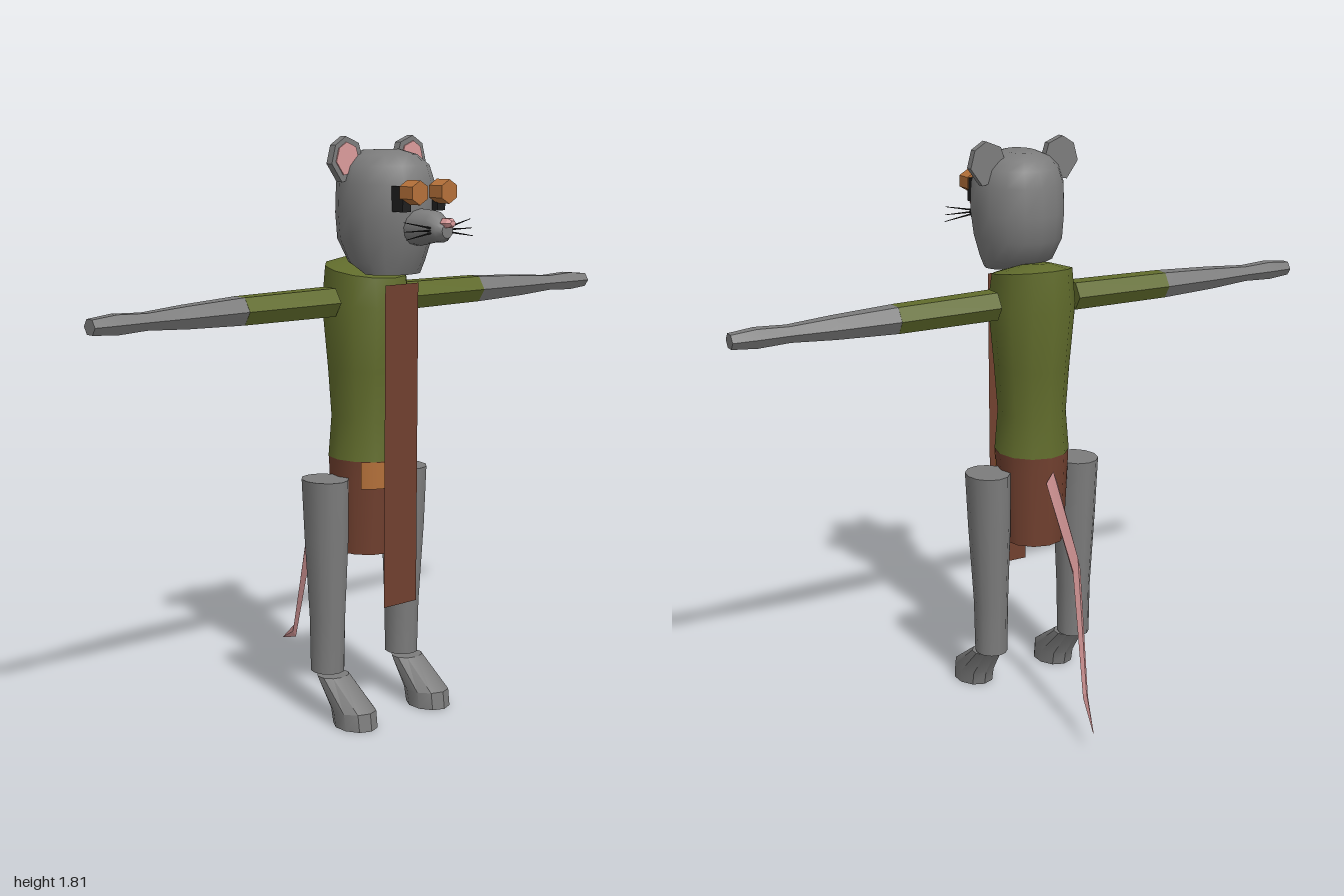
import * as THREE from 'three';
import { toCreasedNormals } from 'three/addons/utils/BufferGeometryUtils.js';

const V = (x, y, z) => new THREE.Vector3(x, y, z);

// Ring across the body: front point (zf, yf), back point (zb, yb), half width w, centre x
function slice([zf, yf, zb, yb, w, x = 0]) {
  return {
    c: V(x, (yf + yb) / 2, (zf + zb) / 2),
    u: V(0, (yf - yb) / 2, (zf - zb) / 2),
    v: V(w, 0, 0),
  };
}

// Skin a row of elliptical rings with n sides and close both ends
function loft(rings, n, crease = 0.9) {
  const pos = [], idx = [];
  const way = rings[1].c.clone().sub(rings[0].c);
  const sign = rings[0].u.clone().cross(rings[0].v).dot(way) < 0 ? -1 : 1;
  for (const { c, u, v } of rings) {
    for (let j = 0; j < n; j++) {
      const t = (j / n) * Math.PI * 2;
      pos.push(...c.clone().addScaledVector(u, Math.cos(t)).addScaledVector(v, sign * Math.sin(t)).toArray());
    }
  }
  const last = rings.length - 1;
  pos.push(...rings[0].c.toArray(), ...rings[last].c.toArray());
  const a = rings.length * n, b = a + 1;
  for (let j = 0; j < n; j++) {
    const k = (j + 1) % n;
    for (let i = 0; i < last; i++) {
      const p = i * n, q = p + n;
      idx.push(p + j, p + k, q + k, p + j, q + k, q + j);
    }
    idx.push(a, k, j, b, last * n + j, last * n + k);
  }
  const g = new THREE.BufferGeometry();
  g.setAttribute('position', new THREE.Float32BufferAttribute(pos, 3));
  g.setIndex(idx);
  return toCreasedNormals(g, crease);
}

function polygon(points, scale, s) {
  const cx = 0.135, cy = 1.75;
  const pts = points.map(([x, y]) => new THREE.Vector2(s * (cx + (x - cx) * scale), cy + (y - cy) * scale));
  return new THREE.Shape(pts);
}

export function createModel() {
  const model = new THREE.Group();
  const material = (name, color, side = THREE.FrontSide) => {
    const m = new THREE.MeshStandardMaterial({ color, side });
    m.name = name;
    return m;
  };
  const fur = material('grey fur', 0x7c7c7c);
  const green = material('green cloth', 0x616c2c);
  const brown = material('brown cloth', 0x71402f, THREE.DoubleSide);
  const pink = material('pink skin', 0xdc9c9c);
  const orange = material('orange', 0xb5713a, THREE.DoubleSide);
  const black = material('black', 0x1e1e1e);

  const add = (name, geometry, mat, x = 0, y = 0, z = 0) => {
    const m = new THREE.Mesh(geometry, mat);
    m.name = name;
    m.position.set(x, y, z);
    model.add(m);
    return m;
  };

  // Head, snout and nose
  add('head', loft([
    [0.275, 1.40, 0.135, 1.40, 0.095],
    [0.295, 1.44, 0.06, 1.43, 0.116],
    [0.32, 1.51, 0.015, 1.50, 0.137],
    [0.33, 1.58, 0.01, 1.58, 0.145],
    [0.328, 1.67, 0.013, 1.67, 0.143],
    [0.31, 1.725, 0.03, 1.72, 0.126],
    [0.27, 1.757, 0.055, 1.748, 0.095],
    [0.21, 1.772, 0.09, 1.768, 0.05],
  ].map(slice), 16), fur);
  add('snout', loft([[0.26, 0.056, 1.545], [0.33, 0.055, 1.545], [0.39, 0.047, 1.55], [0.425, 0.035, 1.54], [0.442, 0.022, 1.54]]
    .map(([z, r, y]) => ({ c: V(0, y, z), u: V(r, 0, 0), v: V(0, r, 0) })), 12), fur);
  add('nose', loft([[0.43, 0.02], [0.453, 0.02], [0.465, 0.011]]
    .map(([z, r]) => ({ c: V(0, 1.563, z), u: V(r, 0, 0), v: V(0, r * 0.8, 0) })), 6, 0.4), pink);

  // Tunic, skirt, belt ornament and tabard
  add('tunic', loft([
    [0.21, 0.82, -0.04, 0.82, 0.118],
    [0.20, 0.95, -0.032, 0.95, 0.107],
    [0.21, 1.10, -0.042, 1.10, 0.118],
    [0.228, 1.30, -0.062, 1.30, 0.135],
    [0.212, 1.385, -0.052, 1.425, 0.124],
    [0.10, 1.425, 0.0, 1.44, 0.04],
  ].map(slice), 12, 0.7), green);
  add('skirt', loft([
    [0.187, 0.52, -0.027, 0.52, 0.10],
    [0.203, 0.76, -0.036, 0.76, 0.114],
    [0.208, 0.82, -0.038, 0.82, 0.117],
  ].map(slice), 12), brown);
  const buckle = new THREE.CylinderGeometry(0.121, 0.118, 0.085, 8, 1, true, -0.87, 1.74);
  add('beltOrnament', buckle, orange, 0, 0.777, 0.085).scale.z = 1.04;
  add('tabard', new THREE.PlaneGeometry(0.135, 1.0), brown, -0.003, 0.87, 0.25);

  // Tail
  add('tail', loft([
    [-0.033, 0.70, -0.053, 0.78, 0.02, 0],
    [-0.19, 0.45, -0.205, 0.54, 0.014, 0],
    [-0.34, 0.11, -0.35, 0.15, 0.009, 0.055],
    [-0.464, 0.069, -0.466, 0.071, 0.001, 0.10],
  ].map(slice), 4, 0.3), pink);

  const earOutline = [[0.19, 1.73], [0.175, 1.785], [0.135, 1.81], [0.085, 1.79], [0.072, 1.75], [0.085, 1.69], [0.15, 1.675]];

  for (const s of [1, -1]) {
    const side = s > 0 ? 'left' : 'right';

    // Ears with pink inner plate
    add(side + 'Ear', new THREE.ExtrudeGeometry(polygon(earOutline, 1, s), { depth: 0.025, bevelEnabled: false }), fur, 0, 0, 0.12);
    add(side + 'InnerEar', new THREE.ExtrudeGeometry(polygon(earOutline, 0.72, s), { depth: 0.004, bevelEnabled: false }), pink, 0, 0, 0.145);

    // Eyes: hexagonal prism over a dark block
    add(side + 'Eye', new THREE.CylinderGeometry(0.036, 0.036, 0.055, 6).toNonIndexed(), orange, s * 0.059, 1.65, 0.36)
      .rotation.x = Math.PI / 2;
    model.children.at(-1).geometry.computeVertexNormals();
    add(side + 'EyeSocket', new THREE.BoxGeometry(0.032, 0.075, 0.06), black, s * 0.07, 1.63, 0.312);

    // Whiskers
    for (const [y0, y1, z1] of [[1.548, 1.568, 0.40], [1.541, 1.541, 0.405], [1.534, 1.518, 0.41]]) {
      const from = V(s * 0.036, y0, 0.41), to = V(s * 0.135, y1, z1);
      const w = add(side + 'Whisker', new THREE.CylinderGeometry(0.001, 0.003, from.distanceTo(to), 4), black);
      w.position.copy(from).lerp(to, 0.5);
      w.quaternion.setFromUnitVectors(V(0, 1, 0), to.sub(from).normalize());
    }

    // Arms: sleeve and bare forearm with hand
    const armRing = ([x, y, z, ry, rz]) => ({ c: V(s * x, y, z), u: V(0, 0, rz), v: V(0, ry, 0) });
    add(side + 'Sleeve', loft([[0.14, 1.312, 0.075, 0.05, 0.055], [0.48, 1.31, 0.07, 0.047, 0.051]].map(armRing), 6, 0.3), green);
    add(side + 'Forearm', loft([
      [0.48, 1.31, 0.07, 0.047, 0.05],
      [0.68, 1.308, 0.074, 0.038, 0.042],
      [0.82, 1.307, 0.077, 0.028, 0.031],
      [0.92, 1.307, 0.079, 0.033, 0.034],
      [1.0, 1.306, 0.08, 0.025, 0.028],
    ].map(armRing), 6, 0.3), fur);

    // Legs and feet
    add(side + 'Leg', loft([
      [0.16, 0.765, 0.0, 0.765, 0.070, s * 0.165],
      [0.157, 0.58, 0.005, 0.58, 0.066, s * 0.160],
      [0.142, 0.32, 0.02, 0.32, 0.054, s * 0.157],
      [0.137, 0.148, 0.025, 0.148, 0.052, s * 0.157],
    ].map(slice), 12), fur);
    add(side + 'Foot', loft([
      [0.155, 0.14, 0.06, 0.14, 0.053, s * 0.157],
      [0.283, 0.055, 0.125, 0.045, 0.064, s * 0.155],
      [0.29, 0.0, 0.135, 0.0, 0.063, s * 0.155],
    ].map(slice), 10, 0.6), fur);
  }
  return model;
}
